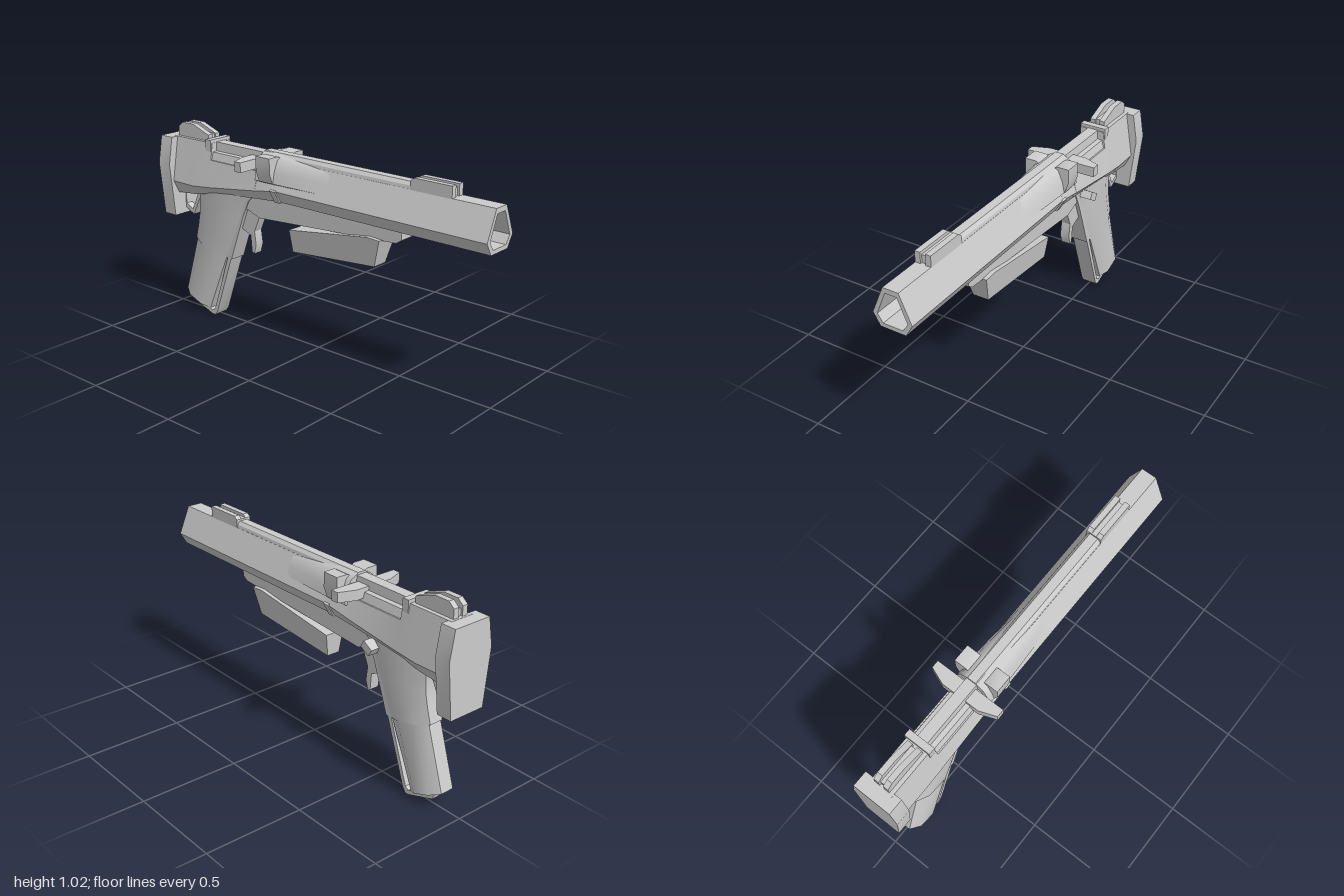
import * as THREE from 'three';
import { toCreasedNormals } from 'three/addons/utils/BufferGeometryUtils.js';

const mat = new THREE.MeshStandardMaterial({ color: 0xcccccc, side: THREE.DoubleSide });

export function createModel() {
  const model = new THREE.Group();

  const add = (name, geometry, crease = 0.5) => {
    const mesh = new THREE.Mesh(toCreasedNormals(geometry, crease), mat);
    mesh.name = name;
    model.add(mesh);
    return mesh;
  };
  const box = (name, x0, x1, y0, y1, z0, z1) => {
    const g = new THREE.BoxGeometry(x1 - x0, y1 - y0, z1 - z0);
    g.translate((x0 + x1) / 2, (y0 + y1) / 2, (z0 + z1) / 2);
    return add(name, g);
  };
  const outline = (pts) => new THREE.Shape(pts.map(([a, b]) => new THREE.Vector2(a, b)));

  // Side profile of [z, y] points, extruded across x; widthAt may taper it
  const side = (name, pts, halfWidth, { x = 0, widthAt, holes = [] } = {}) => {
    const shape = outline(pts);
    holes.forEach((h) => shape.holes.push(outline(h)));
    const g = new THREE.ExtrudeGeometry(shape, { depth: 2, bevelEnabled: false });
    g.translate(0, 0, -1).rotateY(-Math.PI / 2);
    const p = g.attributes.position;
    for (let i = 0; i < p.count; i++) {
      const w = widthAt ? widthAt(p.getY(i), p.getZ(i)) : halfWidth;
      p.setX(i, x + p.getX(i) * w);
    }
    return add(name, g);
  };

  // Front profile of [x, y] points, extruded from z0 to z1
  const across = (name, pts, z0, z1, hole) => {
    const shape = outline(pts);
    if (hole) shape.holes.push(outline(hole));
    const g = new THREE.ExtrudeGeometry(shape, { depth: z1 - z0, bevelEnabled: false });
    return add(name, g.translate(0, 0, z0));
  };
  const mirror = (half) => [...half, ...half.map(([x, ...r]) => [-x, ...r]).reverse()];

  // Skin over closed rings of [x, y, z], capped at both ends
  const loft = (name, rings, crease) => {
    const n = rings[0].length, last = (rings.length - 1) * n, idx = [];
    for (let r = 0; r < rings.length - 1; r++)
      for (let i = 0; i < n; i++) {
        const a = r * n + i, b = r * n + (i + 1) % n;
        idx.push(a, b, a + n, b, b + n, a + n);
      }
    for (let i = 1; i < n - 1; i++) idx.push(0, i + 1, i, last, last + i, last + i + 1);
    const pts = rings.flat().map((p) => new THREE.Vector3(...p));
    // Turn the skin outward if its enclosed volume is negative
    let volume = 0;
    for (let i = 0; i < idx.length; i += 3)
      volume += pts[idx[i]].dot(pts[idx[i + 1]].clone().cross(pts[idx[i + 2]]));
    if (volume < 0) idx.reverse();
    const g = new THREE.BufferGeometry().setFromPoints(pts);
    g.setIndex(idx);
    return add(name, g, crease);
  };

  // Hollow six-sided barrel
  across('barrel', mirror([[0.04, 0.935], [0.1, 0.795], [0.065, 0.735]]), -0.22, 1,
    mirror([[0.03, 0.91], [0.077, 0.795], [0.05, 0.755]]));
  across('barrelPlug', mirror([[0.031, 0.912], [0.078, 0.795], [0.051, 0.754]]), 0.7, 0.72);
  across('topRail', mirror([[0.022, 0.966], [0.036, 0.95], [0.04, 0.93]]), -0.33, 0.6);

  // Smooth swelling where barrel meets receiver
  loft('barrelSwell', [[0.15, 0], [0, 0.45], [-0.12, 0.8], [-0.22, 1], [-0.33, 1]].map(([z, t]) =>
    mirror([[0.025, 0.935 + 0.027 * t, z], [0.042 + 0.022 * t, 0.92 + 0.02 * t, z],
      [0.062 + 0.026 * t, 0.875 + 0.01 * t, z], [0.081 + 0.018 * t, 0.83, z], [0.04, 0.8, z]])), 0.8);

  // Receiver, with its top lowered around the bolt
  const receiver = [[-0.2, 0.935, 0.045, 0.795, 0.735], [-0.33, 0.935, 0.05, 0.775, 0.725],
    [-0.332, 0.868, 0.075, 0.774, 0.725], [-0.55, 0.868, 0.075, 0.745, 0.705],
    [-0.66, 0.868, 0.075, 0.73, 0.692], [-0.662, 0.953, 0.06, 0.73, 0.692],
    [-0.78, 0.953, 0.06, 0.718, 0.665], [-0.94, 0.953, 0.06, 0.72, 0.65]];
  loft('receiver', receiver.map(([z, top, wTop, mid, bottom]) =>
    mirror([[wTop, top, z], [0.1, mid, z], [0.065, bottom, z]])), 0.4);
  across('bolt', mirror([[0.028, 0.955], [0.032, 0.91], [0.056, 0.908], [0.07, 0.86]]), -0.67, -0.32);
  box('boltStop', -0.07, 0.07, 0.91, 0.97, -0.7, -0.665);

  // Butt plate
  across('buttPlate', mirror([[0.1, 0.952], [0.125, 0.81], [0.096, 0.53]]), -1, -0.92);

  // Sights: a low base between two cheeks
  for (const s of [-1, 1]) {
    side('frontSightCheek', [[0.78, 0.93], [0.78, 0.99], [0.58, 0.99], [0.56, 0.975], [0.56, 0.93]],
      0.014, { x: s * 0.027 });
    side('rearSightCheek', [[-0.71, 0.95], [-0.71, 0.985], [-0.82, 1.025], [-0.9, 1.025],
      [-0.93, 1], [-0.93, 0.95]], 0.014, { x: s * 0.026 });
  }
  box('frontSightBase', -0.02, 0.02, 0.93, 0.975, 0.56, 0.77);
  box('rearSightBase', -0.02, 0.02, 0.95, 0.985, -0.92, -0.72);

  // Shoulder blocks, wings and seam tabs on both sides
  for (const s of [-1, 1]) {
    across('shoulderBlock', [[0.035, 0.945], [0.06, 0.958], [0.12, 0.958], [0.12, 0.885],
      [0.1, 0.83], [0.04, 0.83]].map(([x, y]) => [s * x, y]), -0.3, -0.21);
    const wing = outline([[0.02, 0.34], [0.185, 0.34], [0.185, 0.38], [0.1, 0.412], [0.02, 0.412]]
      .map(([x, z]) => [s * x, z]));
    const g = new THREE.ExtrudeGeometry(wing, { depth: 0.05, bevelEnabled: false });
    add('wing', g.rotateX(-Math.PI / 2).translate(0, 0.88, 0));
    across('seamTab', [[0.06, 0.73], [0.072, 0.73], [0.107, 0.795], [0.095, 0.802]]
      .map(([x, y]) => [s * x, y]), -0.225, -0.19);
  }

  // Under rail and tapered fore grip
  side('underRail', [[0.52, 0.74], [0.52, 0.69], [0.49, 0.67], [-0.36, 0.615], [-0.46, 0.65],
    [-0.46, 0.74]], 0.04);
  side('foreGrip', [[0.41, 0.668], [0.37, 0.53], [-0.14, 0.485], [-0.15, 0.6], [0.34, 0.672]], 0,
    { widthAt: (y) => THREE.MathUtils.mapLinear(y, 0.485, 0.672, 0.035, 0.062) });

  // Trigger with its hooked lower tip
  side('trigger', [[-0.36, 0.66], [-0.38, 0.6], [-0.41, 0.53], [-0.4, 0.46], [-0.415, 0.41],
    [-0.43, 0.42], [-0.437, 0.505], [-0.5, 0.53], [-0.47, 0.62], [-0.43, 0.7]], 0.025);

  // Grip sections run from a front point to a back point, each [z, y]
  const gripRing = ([zf, yf, zb, yb, w, wf]) =>
    mirror([[0, wf], [0.25, w], [0.72, w], [1, wf * 0.85]].map(([t, x]) =>
      [x, yf + (yb - yf) * t, zf + (zb - zf) * t]));
  loft('upperGrip', [[-0.4, 0.75, -0.8, 0.7, 0.068, 0.045], [-0.46, 0.67, -0.79, 0.65, 0.07, 0.045],
    [-0.5, 0.57, -0.795, 0.56, 0.07, 0.045], [-0.545, 0.46, -0.81, 0.49, 0.069, 0.044],
    [-0.59, 0.355, -0.83, 0.415, 0.067, 0.043]].map(gripRing), 0.9);
  loft('lowerGrip', [[-0.585, 0.39, -0.81, 0.45, 0.064, 0.042],
    [-0.735, 0.035, -0.918, 0.105, 0.068, 0.042]].map(gripRing), 0.9);

  // Curved front strap and thin loop round the foot of the grip
  side('frontStrap', [[-0.37, 0.745], [-0.43, 0.69], [-0.47, 0.6], [-0.5, 0.52], [-0.562, 0.35],
    [-0.6, 0.355], [-0.54, 0.53], [-0.5, 0.64], [-0.46, 0.74]], 0.045);
  side('gripLoop', [[-0.565, 0.36], [-0.682, 0.03], [-0.7, 0.004], [-0.72, 0.004], [-0.87, 0.057],
    [-0.885, 0.1], [-0.86, 0.1], [-0.855, 0.078], [-0.72, 0.026], [-0.7, 0.04], [-0.59, 0.36]], 0.042);

  // Sling loop behind the grip
  side('slingLoop', [[-0.79, 0.67], [-0.862, 0.53], [-0.93, 0.565], [-0.93, 0.67]], 0.02,
    { holes: [[[-0.825, 0.65], [-0.868, 0.557], [-0.915, 0.582], [-0.915, 0.65]]] });

  // Selector knob on the left
  const knob = add('selectorKnob', new THREE.BoxGeometry(0.06, 0.04, 0.06));
  knob.position.set(0.082, 0.68, -0.49);
  knob.rotation.x = -0.55;

  return model;
}
